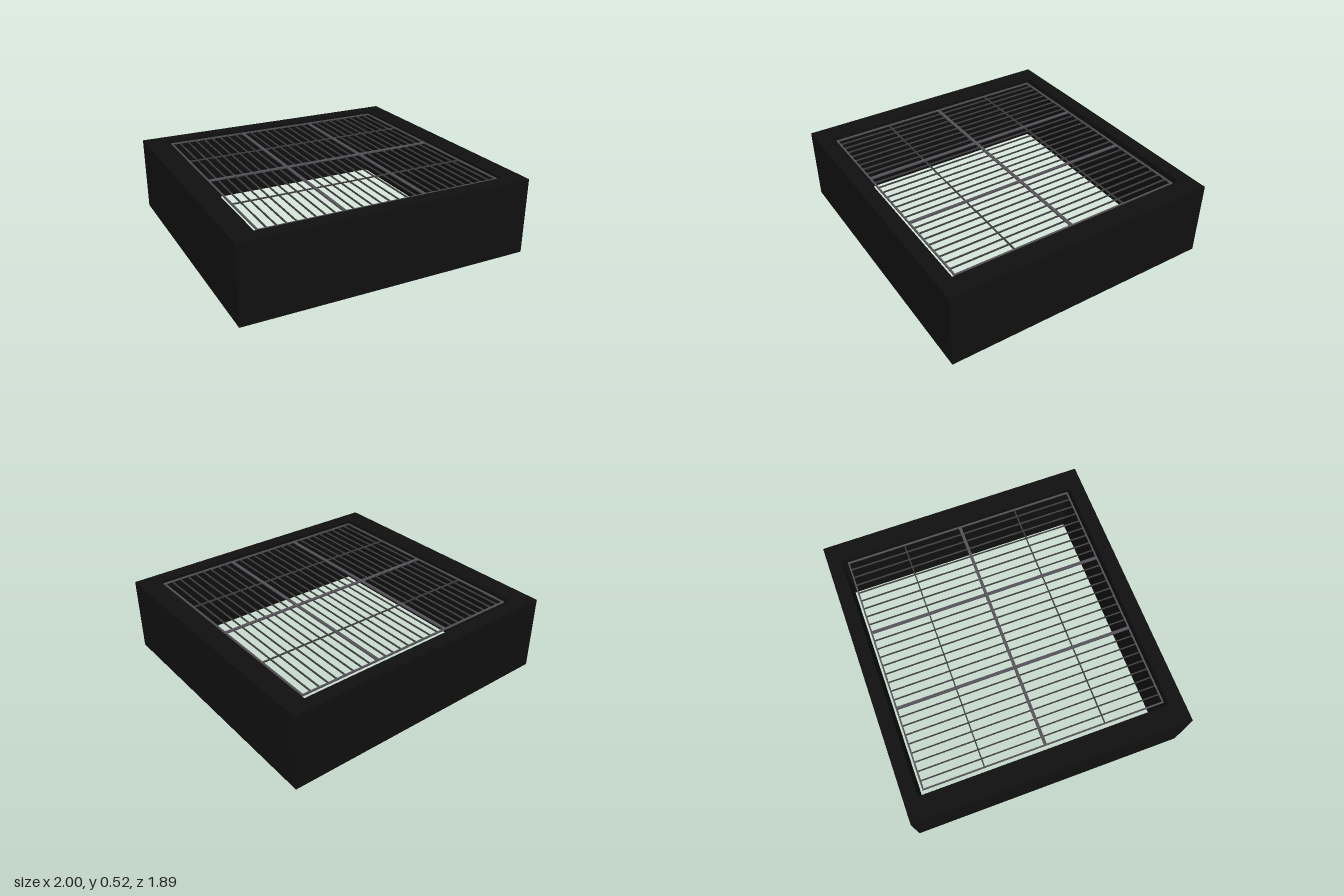
import * as THREE from 'three';

const HEIGHT = 0.52;
const GRATE_Y = 0.505;

function bar(material, w, h, d, x, y, z, name) {
  const mesh = new THREE.Mesh(new THREE.BoxGeometry(w, h, d), material);
  mesh.position.set(x, y, z);
  mesh.name = name;
  return mesh;
}

// One framed grate panel: flat rim, thin rods along z, one cross rod
function gratePanel(x0, x1, z0, z1, rimMaterial, rodMaterial) {
  const panel = new THREE.Group();
  panel.name = 'gratePanel';
  const t = 0.01, rod = 0.008, gaps = 9;
  const w = x1 - x0, d = z1 - z0, cx = (x0 + x1) / 2, cz = (z0 + z1) / 2;
  for (const z of [z0 + t / 2, z1 - t / 2])
    panel.add(bar(rimMaterial, w, t, t, cx, GRATE_Y, z, 'panelRim'));
  for (const x of [x0 + t / 2, x1 - t / 2])
    panel.add(bar(rimMaterial, t, t, d - 2 * t, x, GRATE_Y, cz, 'panelRim'));
  for (let i = 1; i < gaps; i++)
    panel.add(bar(rodMaterial, rod, rod, d - 2 * t, x0 + (w * i) / gaps, GRATE_Y, cz, 'grateRod'));
  panel.add(bar(rodMaterial, w - 2 * t, rod, rod, cx, GRATE_Y - 0.004, cz, 'crossRod'));
  return panel;
}

export function createModel() {
  const model = new THREE.Group();
  model.name = 'firePit';
  const black = new THREE.MeshStandardMaterial({ color: 0x101010 });
  const rimGrey = new THREE.MeshStandardMaterial({ color: 0x55525a });
  const rodGrey = new THREE.MeshStandardMaterial({ color: 0x404040 });

  // Open square surround: a rectangle with a rectangular hole (shape y becomes -z)
  const outline = new THREE.Shape([
    new THREE.Vector2(-1, -0.947), new THREE.Vector2(1, -0.947),
    new THREE.Vector2(1, 0.947), new THREE.Vector2(-1, 0.947),
  ]);
  outline.holes.push(new THREE.Path([
    new THREE.Vector2(-0.852, -0.847), new THREE.Vector2(-0.852, 0.853),
    new THREE.Vector2(0.86, 0.853), new THREE.Vector2(0.86, -0.847),
  ]));
  const wall = new THREE.ExtrudeGeometry(outline, { depth: HEIGHT, bevelEnabled: false });
  wall.rotateX(-Math.PI / 2);
  const surround = new THREE.Mesh(wall, black);
  surround.name = 'surround';
  model.add(surround);

  // Grate: three panels across, two deep
  const grate = new THREE.Group();
  grate.name = 'grate';
  const xs = [-0.826, -0.269, 0.288, 0.845];
  const zs = [-0.815, 0.006, 0.826];
  for (let i = 0; i < 3; i++)
    for (let j = 0; j < 2; j++)
      grate.add(gratePanel(xs[i], xs[i + 1], zs[j], zs[j + 1], rimGrey, rodGrey));
  model.add(grate);
  return model;
}
